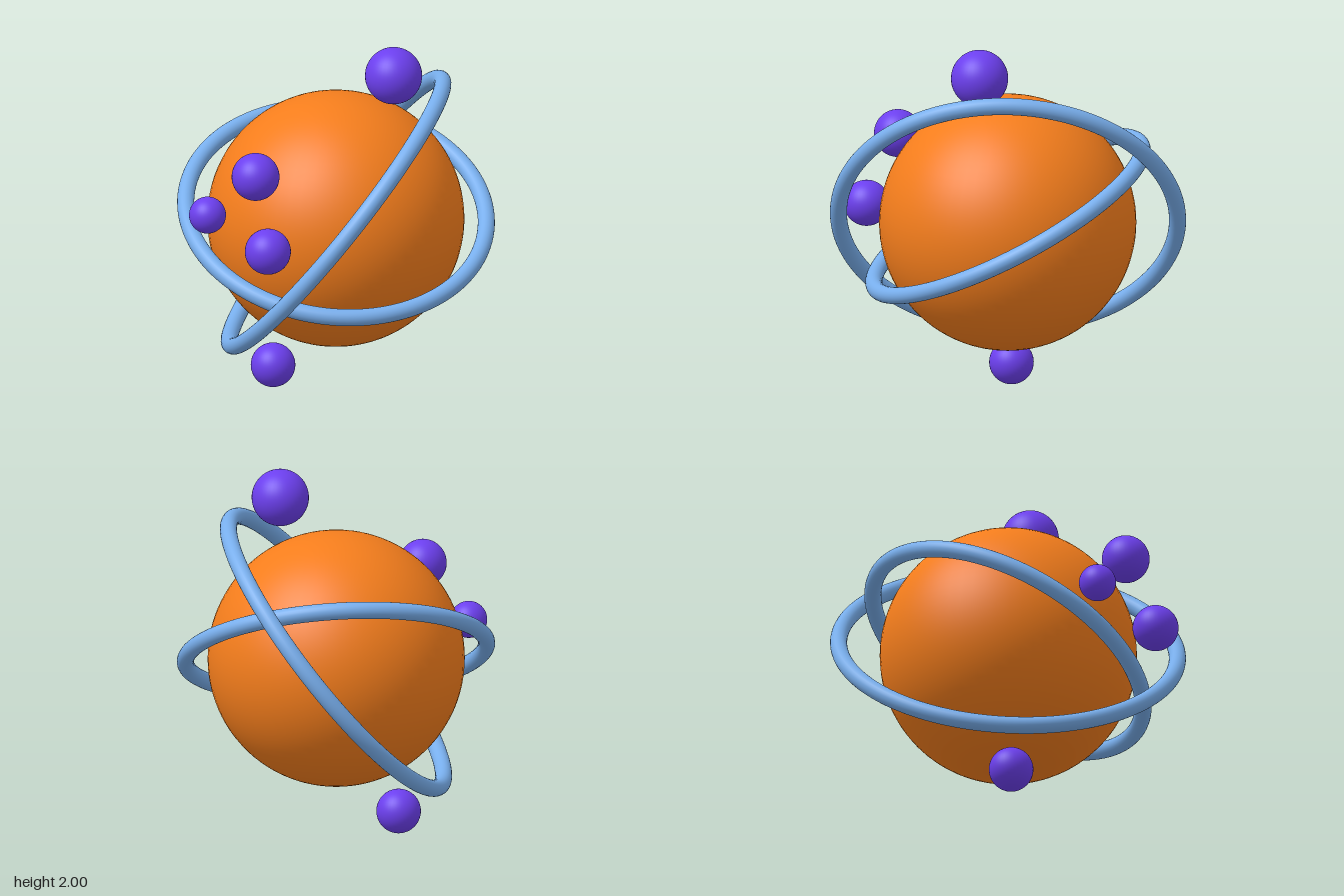
import * as THREE from 'three';

export function createModel() {
  const model = new THREE.Group();
  const orange = new THREE.MeshStandardMaterial({ color: 0xf47d1c });
  const blue = new THREE.MeshStandardMaterial({ color: 0x78aeec });
  const purple = new THREE.MeshStandardMaterial({ color: 0x6c3fee });

  const add = (name, geometry, material, x, y, z) => {
    const mesh = new THREE.Mesh(geometry, material);
    mesh.name = name;
    mesh.position.set(x, y, z);
    model.add(mesh);
    return mesh;
  };

  // Central globe
  add('globe', new THREE.SphereGeometry(0.709, 64, 48), orange, 0, 0.974, -0.036);

  // Tilted orbit rings: radius and plane normal
  const rings = [
    ['lowRing', 0.832, [0.334, 0.884, 0.327]],
    ['steepRing', 0.935, [-0.664, 0.628, 0.405]],
  ];
  for (const [name, radius, normal] of rings) {
    const ring = add(name, new THREE.TorusGeometry(radius, 0.047, 24, 128), blue, 0, 1.008, -0.038);
    ring.quaternion.setFromUnitVectors(
      new THREE.Vector3(0, 0, 1), new THREE.Vector3(...normal).normalize());
  }

  // Small moons: x, y, z, radius
  const moons = [
    ['topMoon', 0.353, 1.842, -0.084, 0.158],
    ['upperFrontMoon', -0.027, 1.391, 0.708, 0.132],
    ['smallFrontMoon', -0.352, 1.115, 0.702, 0.102],
    ['lowerFrontMoon', 0.127, 1.013, 0.813, 0.127],
    ['bottomMoon', -0.3, 0.123, 0.138, 0.123],
  ];
  for (const [name, x, y, z, r] of moons) {
    add(name, new THREE.SphereGeometry(r, 40, 28), purple, x, y, z);
  }

  return model;
}
